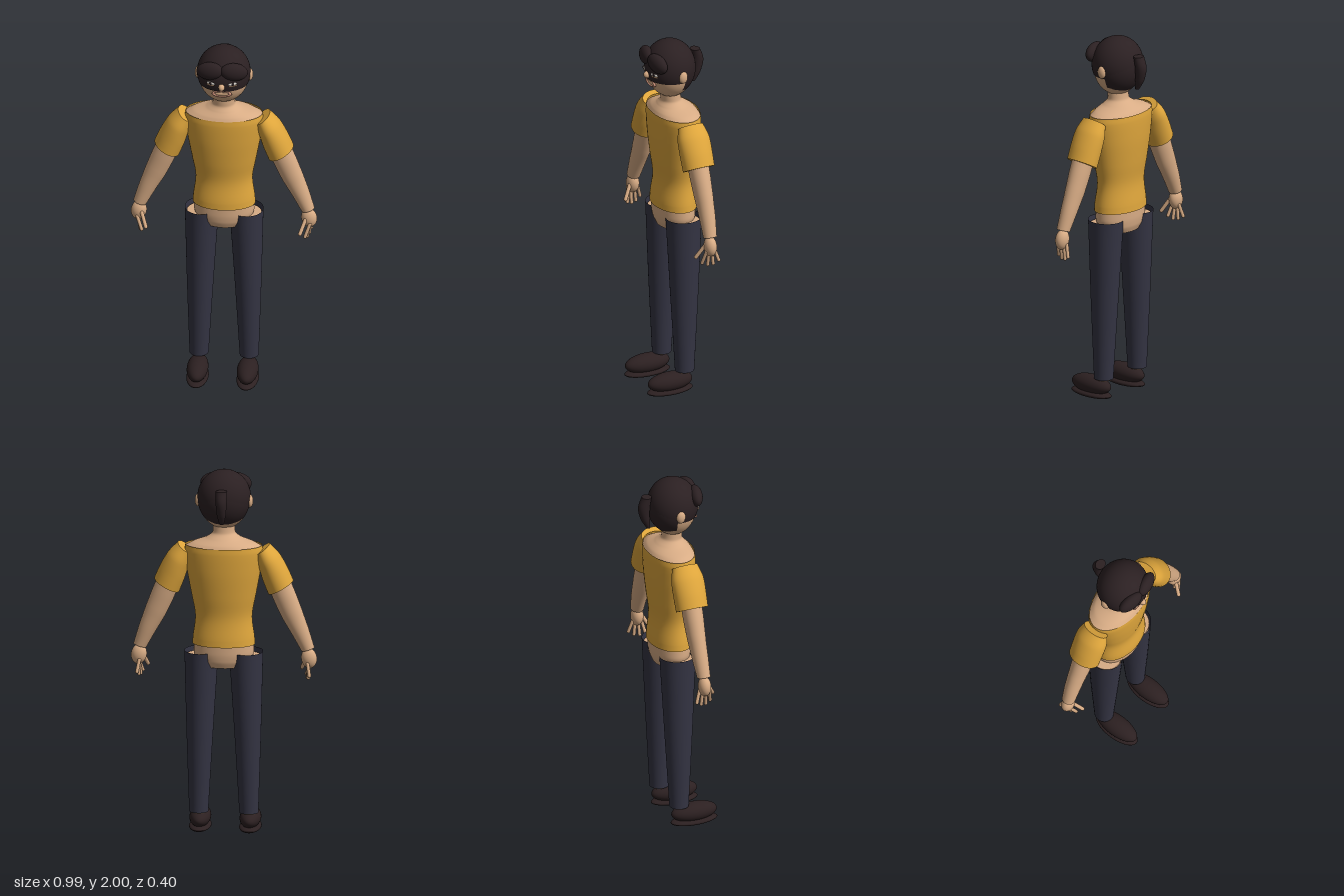
import * as THREE from 'three';

const mat = (name, color, side = THREE.DoubleSide) =>
  Object.assign(new THREE.MeshStandardMaterial({ color, side }), { name });

// Smooth elliptical loft. Rows run bottom to top: [x, y, z, half width, half depth, tilt in xy]
function loft(rows, { steps = 20, sides = 40, capBottom = false, capTop = false } = {}) {
  const centres = new THREE.CatmullRomCurve3(rows.map(r => new THREE.Vector3(r[0], r[1], r[2])));
  const sizes = new THREE.CatmullRomCurve3(rows.map(r => new THREE.Vector3(r[3], r[4], r[5] || 0)));
  const rings = [];
  for (let i = 0; i <= steps; i++) rings.push([centres.getPoint(i / steps), sizes.getPoint(i / steps)]);
  const closed = ([c, s]) => [c, new THREE.Vector3(1e-4, 1e-4, s.z)];
  // doubled end rings keep the cap edges sharp
  if (capBottom) rings.unshift(closed(rings[0]), rings[0]);
  if (capTop) rings.push(rings[rings.length - 1], closed(rings[rings.length - 1]));
  const pos = [], index = [];
  rings.forEach(([c, s], i) => {
    for (let j = 0; j < sides; j++) {
      const a = j / sides * Math.PI * 2, u = s.x * Math.cos(a);
      pos.push(c.x + u * Math.cos(s.z), c.y + u * Math.sin(s.z), c.z + s.y * Math.sin(a));
      if (i === rings.length - 1) continue;
      const p = i * sides + j, n = i * sides + (j + 1) % sides;
      index.push(p, p + sides, n, n, p + sides, n + sides);
    }
  });
  const g = new THREE.BufferGeometry();
  g.setAttribute('position', new THREE.Float32BufferAttribute(pos, 3));
  g.setIndex(index);
  g.computeVertexNormals();
  return g;
}

export function createModel() {
  const model = new THREE.Group();
  const skin = mat('skin', 0xd8ac85);
  const shirt = mat('shirt yellow', 0xdfa63c);
  const denim = mat('trouser navy', 0x343443);
  const hair = mat('hair dark brown', 0x2b2022);
  const leather = mat('shoe dark brown', 0x2c2021);
  const lip = mat('lip', 0xc98f78);
  const white = mat('eye white', 0xeee8e0);

  const add = (name, geometry, material, parent = model) => {
    const m = new THREE.Mesh(geometry, material);
    m.name = name;
    parent.add(m);
    return m;
  };
  const ball = (name, material, [x, y, z], [rx, ry, rz], args = []) => {
    const m = add(name, new THREE.SphereGeometry(1, 40, 28, ...args), material);
    m.position.set(x, y, z);
    m.scale.set(rx, ry, rz);
    return m;
  };
  // Rounded finger segment between two points
  const finger = (name, from, to, r) => {
    const a = new THREE.Vector3(...from), b = new THREE.Vector3(...to), d = b.clone().sub(a);
    const m = add(name, new THREE.CapsuleGeometry(r, d.length(), 6, 12), skin);
    m.position.copy(a).add(b).multiplyScalar(0.5);
    m.quaternion.setFromUnitVectors(new THREE.Vector3(0, 1, 0), d.normalize());
  };

  // Torso
  add('shirtBody', loft([
    [0, 1.05, -0.02, 0.168, 0.113], [0, 1.09, -0.02, 0.165, 0.111], [0, 1.2, -0.022, 0.152, 0.099],
    [0, 1.32, -0.022, 0.172, 0.112], [0, 1.45, -0.022, 0.196, 0.124], [0, 1.56, -0.022, 0.21, 0.127],
    [0, 1.595, -0.022, 0.205, 0.124]], { steps: 30 }), shirt);
  add('neckAndShoulders', loft([
    [0, 1.585, -0.022, 0.206, 0.122], [0, 1.607, -0.02, 0.165, 0.108], [0, 1.63, -0.014, 0.098, 0.082],
    [0, 1.66, -0.006, 0.06, 0.054], [0, 1.74, 0, 0.057, 0.052]], { steps: 30 }), skin);
  add('hips', loft([
    [0, 0.93, -0.02, 0.115, 0.086], [0, 0.965, -0.02, 0.148, 0.099], [0, 1.01, -0.02, 0.161, 0.104],
    [0, 1.08, -0.02, 0.158, 0.104]], { capBottom: true }), skin);

  // Head and face
  ball('head', skin, [0, 1.835, 0], [0.135, 0.155, 0.125]);
  ball('nose', skin, [0, 1.825, 0.135], [0.017, 0.02, 0.021]);
  const lips = add('lips', new THREE.TorusGeometry(0.045, 0.009, 10, 36), lip);
  lips.position.set(0, 1.775, 0.114);
  lips.scale.set(1, 0.36, 0.8);
  ball('mouthInside', skin, [0, 1.775, 0.109], [0.042, 0.014, 0.01]);

  // Hair: cap, nape, fringe and tail
  ball('hairCap', hair, [0, 1.85, 0], [0.143, 0.15, 0.136], [0, Math.PI * 2, 0, Math.acos(-0.055 / 0.15)]);
  ball('hairBack', hair, [0, 1.84, 0], [0.141, 0.152, 0.137],
    [Math.PI + 0.2, Math.PI - 0.4, 0, Math.PI]);
  add('hairTail', loft([
    [0, 1.735, -0.14, 0.012, 0.01], [0, 1.79, -0.158, 0.024, 0.025], [0, 1.86, -0.165, 0.03, 0.032],
    [0, 1.92, -0.15, 0.031, 0.026]], { capBottom: true, capTop: true, sides: 24 }), hair);

  for (const s of [1, -1]) {
    const side = s > 0 ? 'left' : 'right';
    const fringe = ball(side + 'Fringe', hair, [s * 0.065, 1.907, 0.106], [0.074, 0.05, 0.036]);
    fringe.rotation.set(0, s * 0.2, -s * 0.15);
    ball(side + 'Ear', skin, [s * 0.138, 1.833, -0.01], [0.018, 0.035, 0.025]);
    ball(side + 'EyeWhite', white, [s * 0.058, 1.842, 0.122], [0.024, 0.009, 0.006]).rotation.y = s * 0.4;
    ball(side + 'Pupil', hair, [s * 0.058, 1.842, 0.126], [0.009, 0.009, 0.005]);
    ball(side + 'Eyelid', skin, [s * 0.06, 1.831, 0.122], [0.022, 0.004, 0.005]).rotation.y = s * 0.4;

    // Sleeve and arm
    add(side + 'Sleeve', loft([
      [s * 0.305, 1.365, -0.018, 0.076, 0.088, s * 0.51], [s * 0.278, 1.43, -0.018, 0.075, 0.09, s * 0.5],
      [s * 0.243, 1.51, -0.018, 0.066, 0.09, s * 0.55], [s * 0.207, 1.573, -0.018, 0.048, 0.072, s * 0.65]],
      { capBottom: true, capTop: true }), shirt);
    add(side + 'Arm', loft([
      [s * 0.449, 1.025, -0.012, 0.036, 0.036, s * 0.3], [s * 0.41, 1.12, -0.016, 0.047, 0.043, s * 0.38],
      [s * 0.365, 1.22, -0.018, 0.058, 0.049, s * 0.44], [s * 0.325, 1.315, -0.018, 0.062, 0.054, s * 0.45],
      [s * 0.29, 1.4, -0.018, 0.062, 0.056, s * 0.45]], { capBottom: true }), skin);

    // Hand
    ball(side + 'Palm', skin, [s * 0.455, 0.975, -0.01], [0.042, 0.055, 0.034]).rotation.z = s * 0.15;
    for (let i = 0; i < 4; i++) {
      const z = 0.016 - i * 0.018;
      finger(side + 'Finger' + (i + 1), [s * (0.462 - i * 0.004), 0.95, z],
        [s * (0.445 + 0.008 * (i - 1)), [0.878, 0.866, 0.87, 0.888][i], z * 1.6 + 0.004], 0.0095);
    }
    finger(side + 'Thumb', [s * 0.438, 0.975, 0.015], [s * 0.412, 0.907, 0.054], 0.0105);

    // Leg, trouser leg and shoe
    add(side + 'Leg', loft([
      [s * 0.134, 0.115, -0.02, 0.043, 0.043], [s * 0.128, 0.55, -0.021, 0.062, 0.066],
      [s * 0.118, 0.985, -0.022, 0.082, 0.088]], { capBottom: true, capTop: true }), skin);
    add(side + 'TrouserLeg', loft([
      [s * 0.134, 0.12, -0.02, 0.051, 0.052], [s * 0.128, 0.56, -0.021, 0.071, 0.076],
      [s * 0.119, 1.01, -0.022, 0.091, 0.098]]), denim);
    ball(side + 'Shoe', leather, [s * 0.134, 0.07, 0.067], [0.057, 0.052, 0.13]);
    ball(side + 'Sole', leather, [s * 0.134, 0.021, 0.067], [0.059, 0.021, 0.133]);
  }
  return model;
}
